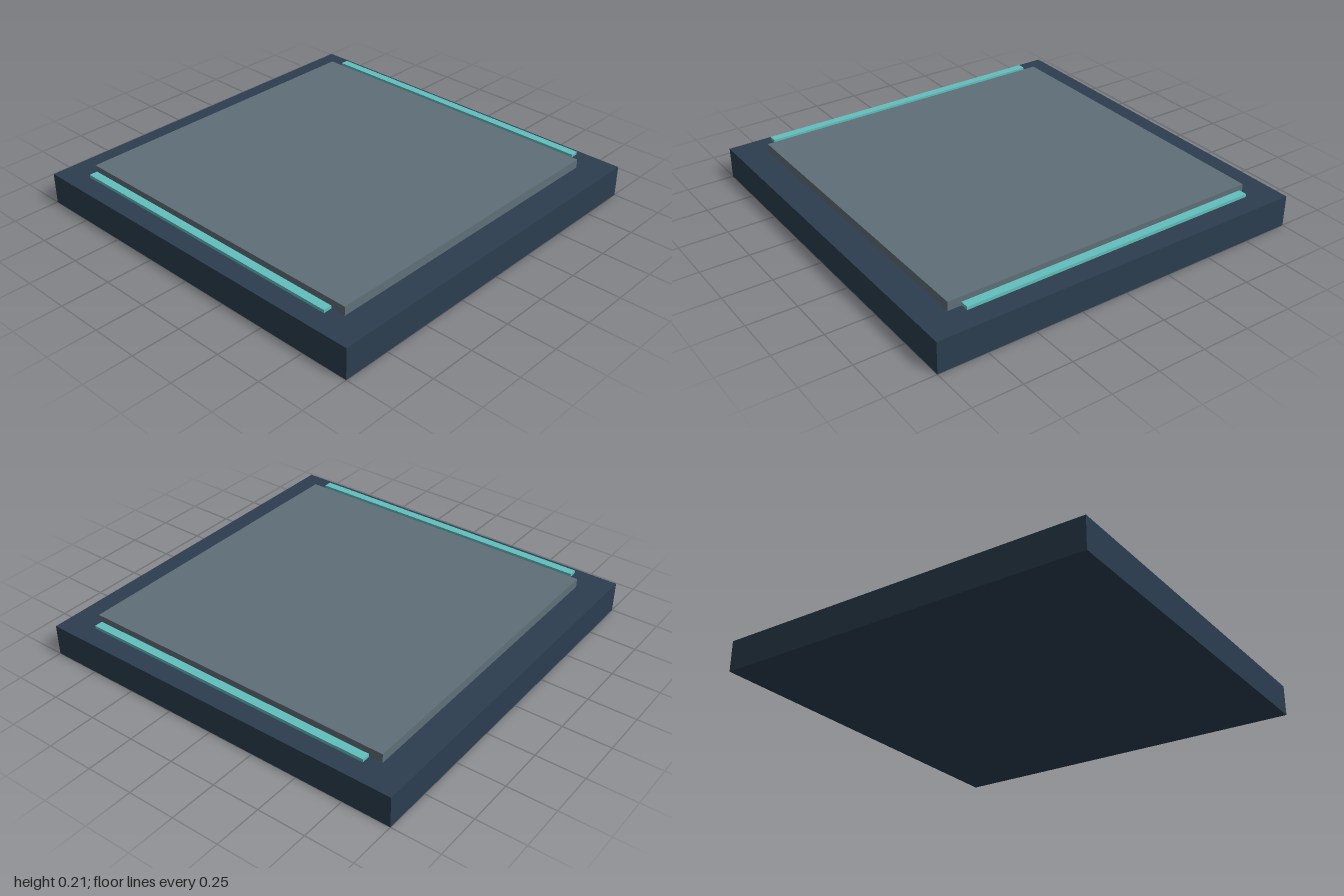
import * as THREE from 'three';

export function createModel() {
  const group = new THREE.Group();
  const navy = new THREE.MeshStandardMaterial({ color: 0x2c3e50 });
  navy.name = 'navy';
  const slate = new THREE.MeshStandardMaterial({ color: 0x5f6f78 });
  slate.name = 'slate grey';
  const teal = new THREE.MeshStandardMaterial({ color: 0x62bfbd });
  teal.name = 'teal';

  // Box placed by its bottom height
  const addBox = (name, material, w, h, d, x, bottom) => {
    const mesh = new THREE.Mesh(new THREE.BoxGeometry(w, h, d), material);
    mesh.name = name;
    mesh.position.set(x, bottom + h / 2, 0);
    group.add(mesh);
  };

  // Square slab with a raised panel
  addBox('base', navy, 2, 0.163, 2, 0, 0);
  addBox('topPanel', slate, 1.7, 0.047, 1.7, 0, 0.163);

  // Light strips hovering just above the base on both sides
  for (const side of [1, -1]) {
    addBox(side > 0 ? 'leftLightStrip' : 'rightLightStrip', teal, 0.044, 0.016, 1.6, side * 0.9, 0.19);
  }
  return group;
}
